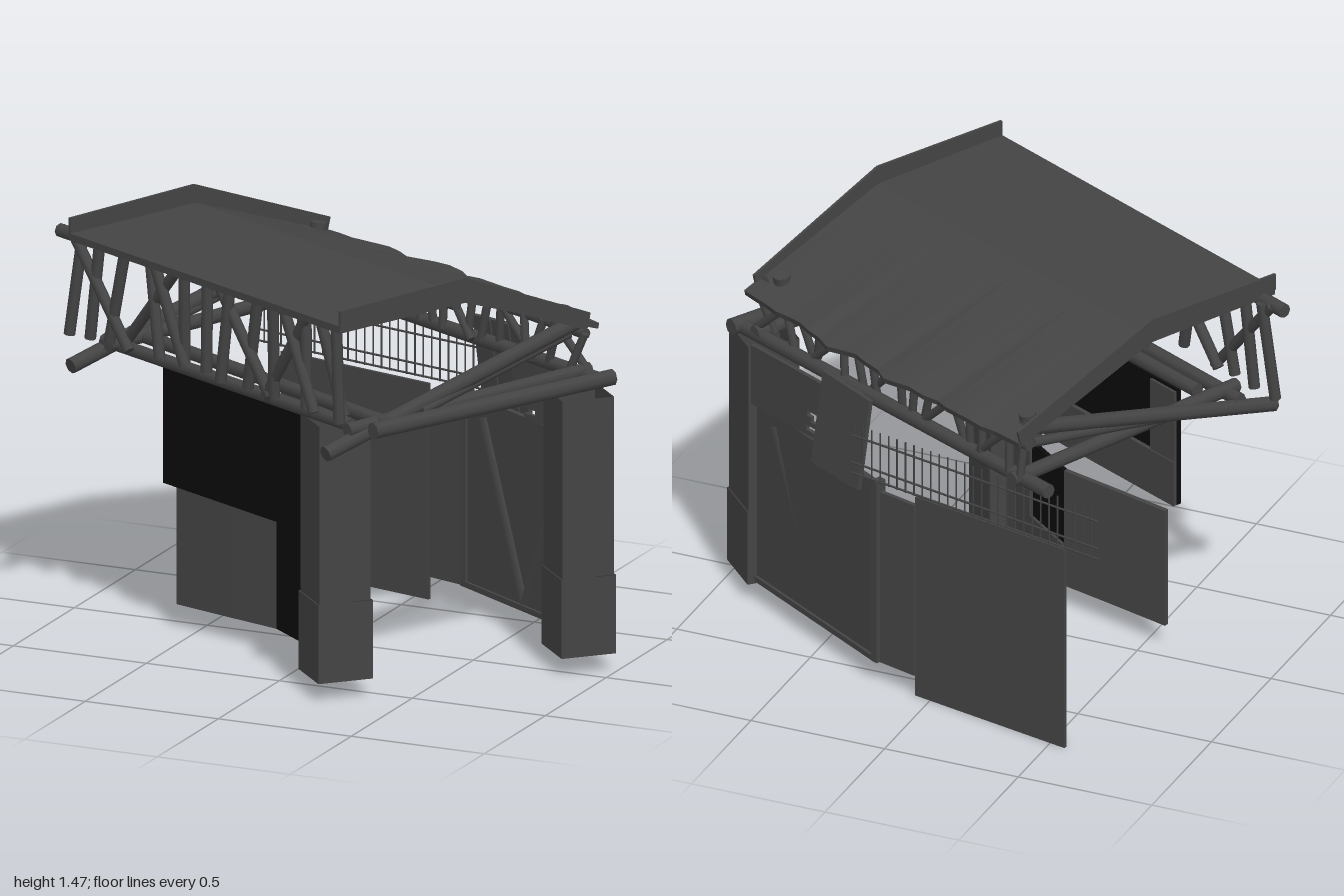
import * as THREE from 'three';

const grey = new THREE.MeshStandardMaterial({ color: 0x444444, side: THREE.DoubleSide });
const black = new THREE.MeshStandardMaterial({ color: 0x0c0c0c, side: THREE.DoubleSide });
const V = (x, y, z) => new THREE.Vector3(x, y, z);

let seed = 7;
const rnd = () => (seed = (seed * 16807) % 2147483647) / 2147483647;
const jitter = (a) => (rnd() - 0.5) * 2 * a;

function add(parent, name, geo, mat = grey) {
  const m = new THREE.Mesh(geo, mat);
  m.name = name;
  parent.add(m);
  return m;
}

// Box given by its extents on each axis
function block(parent, name, x0, x1, y0, y1, z0, z1, mat = grey) {
  const m = add(parent, name, new THREE.BoxGeometry(x1 - x0, y1 - y0, z1 - z0), mat);
  m.position.set((x0 + x1) / 2, (y0 + y1) / 2, (z0 + z1) / 2);
  return m;
}

// Upright panel between two ground points (x, z)
function panel(parent, name, [xa, za], [xb, zb], y0, y1, t, mat = grey) {
  const m = add(parent, name, new THREE.BoxGeometry(Math.hypot(xb - xa, zb - za), y1 - y0, t), mat);
  m.position.set((xa + xb) / 2, (y0 + y1) / 2, (za + zb) / 2);
  m.rotation.y = -Math.atan2(zb - za, xb - xa);
  return m;
}

// Round timber between two points
function log(parent, name, a, b, r, sides = 8) {
  const d = b.clone().sub(a);
  const m = add(parent, name, new THREE.CylinderGeometry(r, r, d.length(), sides));
  m.position.copy(a).add(b).multiplyScalar(0.5);
  m.quaternion.setFromUnitVectors(V(0, 1, 0), d.normalize());
  return m;
}

// Closed (z, y) profile extruded along x
function profile(parent, name, pts, x0, x1, steps = 1) {
  const shape = new THREE.Shape(pts.map(([z, y]) => new THREE.Vector2(z, y)));
  const geo = new THREE.ExtrudeGeometry(shape, { depth: x1 - x0, steps, bevelEnabled: false });
  const m = add(parent, name, geo);
  m.rotation.y = -Math.PI / 2;
  m.position.x = x1;
  return m;
}

function roof(p) {
  const sheet = profile(p, 'roofSheet', [[0.585, 1.375], [0.585, 1.4], [0.03, 1.405], [-0.565, 1.195],
    [-0.56, 1.175], [0.03, 1.38]], -0.745, 0.705, 24);
  // ragged rear edge
  const pos = sheet.geometry.attributes.position;
  for (let i = 0; i < pos.count; i++) {
    if (pos.getX(i) > -0.5) continue;
    const d = pos.getZ(i);
    const inner = Math.sin(Math.PI * d / 1.45);
    pos.setX(i, pos.getX(i) - inner * (0.028 + 0.014 * Math.sin(d * 17) + 0.008 * Math.sin(d * 41)));
    pos.setY(i, pos.getY(i) + inner * 0.006 * Math.sin(d * 23));
  }
  sheet.geometry.computeVertexNormals();
  // raised boards at both ends
  for (const [x, z] of [[-0.75, -0.57], [0.698, -0.525]]) {
    profile(p, 'roofEndBoard', [[0.585, 1.395], [0.585, 1.455], [0.03, 1.47], [z, 1.24],
      [z + 0.015, 1.18], [0.03, 1.395]], x, x + 0.01);
  }
  for (const x of [-0.68, 0.62]) {
    log(p, 'roofPeg', V(x, 1.19, -0.46), V(x, 1.255, -0.47), 0.03, 10);
  }
}

function timbers(p) {
  log(p, 'frontTopPlate', V(-0.86, 1.375, 0.53), V(0.61, 1.375, 0.53), 0.025);
  log(p, 'frontBottomPlate', V(-0.72, 1.0, 0.45), V(0.6, 1.0, 0.45), 0.025);
  log(p, 'frontInnerPlate', V(-0.6, 1.02, 0.36), V(0.72, 1.01, 0.36), 0.025);
  log(p, 'backBottomPlate', V(0.78, 1.015, -0.52), V(-0.83, 1.02, -0.5), 0.026);
  log(p, 'backTopPlate', V(0.7, 1.165, -0.51), V(-0.74, 1.165, -0.51), 0.02);
  log(p, 'rightPlate', V(0.73, 1.01, 0.46), V(0.78, 1.02, -0.56), 0.03);
  log(p, 'rightInnerPlate', V(0.64, 1.0, 0.5), V(0.68, 1.03, -0.54), 0.026);
  log(p, 'leftPlate', V(-0.64, 1.01, 0.5), V(-0.68, 1.02, -0.54), 0.026);
  log(p, 'ridgeBeam', V(-0.72, 1.36, 0.03), V(0.66, 1.36, 0.03), 0.02);
  // sloping beams at both ends, low at the front
  for (const x of [-0.72, 0.645]) {
    log(p, 'slopingBeam', V(x, 0.935, 0.6), V(x + 0.03, 1.21, -0.5), 0.028);
    log(p, 'slopingStrut', V(x + 0.03, 1.02, 0.2), V(x, 1.16, -0.48), 0.018);
  }
  // front sticks: x at the foot, x at the head
  const front = [[-0.81, -0.77], [-0.71, -0.67], [-0.5, -0.81], [-0.61, -0.53], [-0.55, -0.25], [-0.34, -0.42],
    [-0.22, -0.37], [-0.24, -0.22], [-0.09, -0.09], [0.0, 0.04], [0.23, -0.03], [0.1, 0.17], [0.25, 0.27],
    [0.49, 0.32], [0.2, 0.45], [0.43, 0.42], [0.61, 0.5], [0.62, 0.61]];
  for (const [foot, head] of front) {
    log(p, 'frontStick', V(foot, 1.03 + jitter(0.015), 0.51 + jitter(0.025)), V(head, 1.38, 0.51 + jitter(0.015)), 0.02);
  }
  // shorter crooked sticks at the back
  for (let i = 0; i < 20; i++) {
    const x = -0.7 + i * 0.073;
    const lean = i % 4 === 2 ? 0.1 : jitter(0.04);
    log(p, 'backStick', V(x + lean, 1.02, -0.5 + jitter(0.03)), V(x - lean * 0.6, 1.17, -0.5), 0.015, 7);
  }
}

function frontWall(p) {
  block(p, 'upperFrontPanel', -0.49, 0.33, 0.53, 0.98, 0.36, 0.38, black);
  block(p, 'upperInnerBand', -0.49, 0.33, 0.53, 0.7, 0.345, 0.36);
  block(p, 'upperInnerEdge', -0.49, -0.36, 0.7, 0.97, 0.35, 0.36);
  // lower boards bend inwards towards the middle
  panel(p, 'lowerOuterPanel', [-0.495, 0.31], [-0.25, 0.27], 0.085, 0.53, 0.018);
  panel(p, 'lowerMiddlePanel', [-0.25, 0.27], [-0.05, 0.235], 0.085, 0.53, 0.018);
  const bend = [-0.05, 0.235], end = [0.28, 0.305];
  const along = (t, dz) => [bend[0] + t * 0.33, bend[1] + t * 0.07 + dz];
  panel(p, 'darkDoor', bend, end, 0.085, 0.53, 0.016, black);
  panel(p, 'doorInnerSill', along(0, -0.013), along(1, -0.013), 0.085, 0.25, 0.01);
  panel(p, 'doorInnerSide', along(0.68, -0.013), along(1, -0.013), 0.25, 0.53, 0.01);
  block(p, 'cornerPost', 0.28, 0.35, 0.085, 0.98, 0.31, 0.36);
}

function backWall(p) {
  const outer = [0.66, -0.535], bend = [-0.045, -0.6], inner = [-0.21, -0.572];
  panel(p, 'backPanel', outer, bend, 0.08, 0.77, 0.02);
  panel(p, 'backSidePanel', bend, inner, 0.08, 0.74, 0.016);
  panel(p, 'backRail', outer, bend, 0.08, 0.1, 0.04);
  block(p, 'backPost', -0.06, -0.03, 0.08, 0.78, -0.62, -0.58);
  // V brace inside
  for (const x of [0.1, 0.56]) log(p, 'wallBrace', V(0.32, 0.11, -0.55), V(x, 0.72, -0.55), 0.018, 4);
  // broken planks above the panel, longer towards the top
  for (let i = 0; i < 12; i++) {
    const y = 0.77 + i * 0.019;
    const end = (i > 5 ? 0.2 : 0.36) + jitter(0.07);
    block(p, 'brokenPlank', end, 0.67, y, y + 0.019, -0.565, -0.55);
  }
  // hanging slab of upright planks
  const slab = new THREE.Group();
  slab.name = 'hangingPlanks';
  for (let i = 0; i < 5; i++) {
    const x = -0.125 + i * 0.05;
    block(slab, 'plank', x, x + 0.05, -0.17 + jitter(0.01), 0.17, -0.008, 0.008 + 0.005 * (i % 2));
  }
  slab.position.set(0.14, 0.9, -0.605);
  slab.rotation.set(0.1, 0, 0.06);
  p.add(slab);
}

// Hollow four-sided pillar with a wider foot, corners on the x and z axes
function pillar(p, x, z) {
  const g = new THREE.Group();
  g.name = 'pillar';
  for (const [name, r, y0, y1] of [['pillarFoot', 0.14, 0.065, 0.345], ['pillarShaft', 0.132, 0.345, 0.98]]) {
    const geo = new THREE.CylinderGeometry(r, r, y1 - y0, 4, 1, true).toNonIndexed();
    geo.computeVertexNormals();
    add(g, name, geo).position.y = (y0 + y1) / 2;
  }
  g.position.set(x, 0, z);
  p.add(g);
}

// Free panel and the wire railing above it
function sidePanel(p) {
  const g = new THREE.Group();
  g.name = 'sideScreen';
  g.position.set(-0.25, 0, -0.67);
  g.rotation.y = -Math.atan2(0.14, 0.62);
  block(g, 'sidePanel', -0.318, 0.318, 0, 0.77, -0.006, 0.006);
  for (const y of [0.785, 0.825, 0.93]) log(g, 'railingWire', V(-0.47, y, -0.015), V(0.58, y, -0.015), 0.004, 5);
  for (let i = 0; i < 29; i++) {
    const x = -0.44 + i * 0.036;
    log(g, 'railingBar', V(x, 0.78, -0.015), V(x, 0.975, -0.015), 0.003, 5);
  }
  p.add(g);
}

export function createModel() {
  seed = 7;
  const root = new THREE.Group();
  root.name = 'ruinedHut';
  const hut = new THREE.Group();
  hut.name = 'hutBody';
  hut.rotation.y = -0.449;
  root.add(hut);
  roof(hut);
  timbers(hut);
  frontWall(hut);
  backWall(hut);
  pillar(root, 0.23, 0.54);
  pillar(root, 0.86, -0.08);
  sidePanel(root);
  return root;
}
